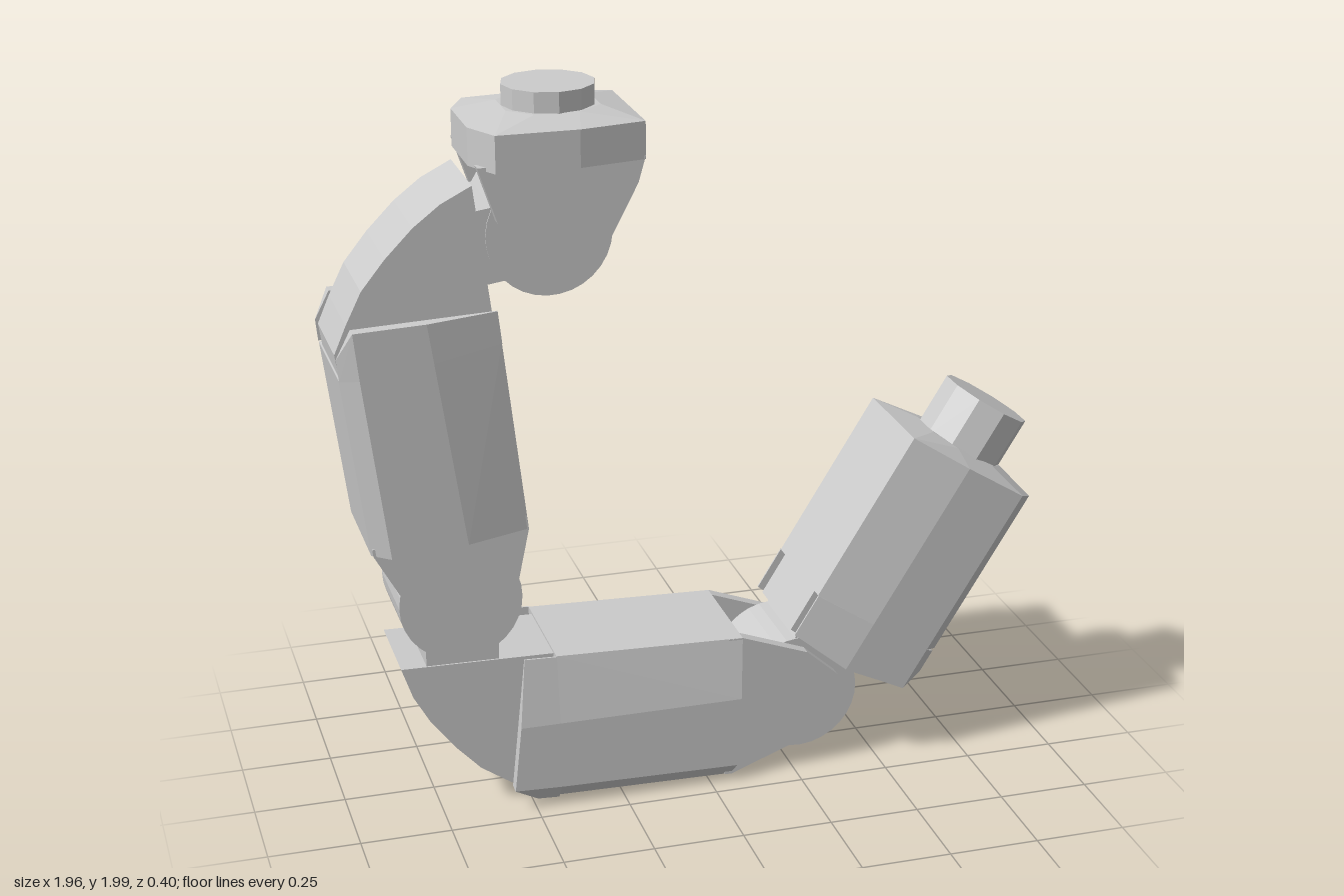
import * as THREE from 'three';
import { ConvexGeometry } from 'three/addons/geometries/ConvexGeometry.js';

const material = new THREE.MeshStandardMaterial({ color: 0xcccccc, flatShading: true, side: THREE.DoubleSide });

function add(parent, name, geometry, x = 0, y = 0, z = 0) {
  const mesh = new THREE.Mesh(geometry, material);
  mesh.name = name;
  mesh.position.set(x, y, z);
  parent.add(mesh);
  return mesh;
}

// Flat plate: a side profile given thickness between z0 and z1
function plate(parent, name, profile, z0, z1) {
  const shape = new THREE.Shape(profile.map(([x, y]) => new THREE.Vector2(x, y)));
  const geometry = new THREE.ExtrudeGeometry(shape, { depth: z1 - z0, bevelEnabled: false });
  return add(parent, name, geometry, 0, 0, z0);
}

// Faceted solid around points mirrored across z = 0
function hull(parent, name, points) {
  const all = points.flatMap(([x, y, z]) => [new THREE.Vector3(x, y, z), new THREE.Vector3(x, y, -z)]);
  return add(parent, name, new ConvexGeometry(all));
}

// Pair of thin side cheeks, from z = 0.165 out to the given widths
function cheeks(parent, points) {
  for (const side of [1, -1]) {
    const corners = points.flatMap(([x, y, z]) => [
      new THREE.Vector3(x, y, side * z), new THREE.Vector3(x, y, side * 0.165)]);
    add(parent, 'cheek', new ConvexGeometry(corners));
  }
}

function prongs(parent, profile) {
  plate(parent, 'prong', profile, 0.131, 0.166);
  plate(parent, 'prong', profile, -0.166, -0.131);
}

// Hinge barrel lying along z
function barrel(parent, x, y) {
  const geometry = new THREE.CylinderGeometry(0.168, 0.168, 0.258, 32);
  geometry.rotateX(Math.PI / 2);
  add(parent, 'hingeBarrel', geometry, x, y);
}

// Middle link: barrel and curved hood at one end, forked prongs at the other
function link(name) {
  const g = new THREE.Group();
  g.name = name;
  hull(g, 'linkBody', [
    [-0.43, 0.447, 0.165], [-0.43, 0.26, 0.2], [-0.43, 0.065, 0.2], [-0.43, 0.017, 0.155],
    [0.10, 0.43, 0.165], [0.087, 0.26, 0.2], [0.075, 0.055, 0.2], [0.07, 0.008, 0.155],
  ]);
  cheeks(g, [
    [-0.43, 0.447, 0.17], [-0.43, 0.26, 0.2], [-0.43, 0.065, 0.2], [-0.43, 0.017, 0.167],
    [-0.52, 0.45, 0.17], [-0.54, 0.26, 0.2], [-0.56, 0.07, 0.2], [-0.49, 0.02, 0.167],
  ]);
  plate(g, 'curvedHood', [
    [-0.85, 0.448], [-0.82, 0.36], [-0.775, 0.28], [-0.71, 0.195], [-0.64, 0.12],
    [-0.56, 0.065], [-0.49, 0.022], [-0.42, 0.022], [-0.42, 0.44],
  ], -0.13, 0.13);
  prongs(g, [
    [0.06, 0.43], [0.10, 0.43], [0.29, 0.36], [0.38, 0.28], [0.375, 0.2], [0.32, 0.13],
    [0.25, 0.08], [0.07, 0.012], [0.05, 0.012],
  ]);
  add(g, 'neck', new THREE.BoxGeometry(0.2, 0.2, 0.25), -0.68, 0.52);
  barrel(g, -0.68, 0.625);
  return g;
}

// Upper mount: peg, chamfered block and fork
function mount() {
  const g = new THREE.Group();
  g.name = 'upperMount';
  const outline = [[-0.62, 0.1], [-0.57, 0.2], [-0.35, 0.2], [-0.17, 0.165]];
  hull(g, 'mountBlock', [
    ...outline.flatMap(([x, z]) => [[x, 1.82, z], [x, 1.92, z]]),
    [-0.51, 1.945, 0.06], [-0.45, 1.945, 0.12], [-0.33, 1.945, 0.12], [-0.26, 1.945, 0.06],
  ]);
  prongs(g, [
    [-0.61, 1.83], [-0.17, 1.83], [-0.19, 1.76], [-0.29, 1.57], [-0.34, 1.54],
    [-0.45, 1.54], [-0.56, 1.68],
  ]);
  add(g, 'mountPeg', new THREE.CylinderGeometry(0.124, 0.124, 0.08, 12), -0.385, 1.96);
  return g;
}

// End link: local x runs along its length, local y points to the inner side
function endLink() {
  const g = new THREE.Group();
  g.name = 'endLink';
  const section = [[0, 0.165], [-0.18, 0.2], [-0.37, 0.2], [-0.425, 0.14]];
  hull(g, 'endBody', [
    ...section.flatMap(([y, z]) => [[0.13, y, z], [0.645, y, z]]),
    [0.67, -0.1, 0.06], [0.67, -0.16, 0.12], [0.67, -0.28, 0.12], [0.67, -0.34, 0.06],
  ]);
  cheeks(g, [
    [0.13, 0, 0.17], [0.13, -0.18, 0.2], [0.13, -0.37, 0.2], [0.13, -0.4, 0.18],
    [0, 0, 0.17], [-0.02, -0.18, 0.2], [0, -0.37, 0.2], [0.06, -0.4, 0.18],
  ]);
  plate(g, 'endCore', [
    [0, -0.002], [-0.036, -0.25], [-0.02, -0.385], [0.07, -0.41], [0.15, -0.42], [0.15, -0.002],
  ], -0.13, 0.13);
  add(g, 'neck', new THREE.BoxGeometry(0.2, 0.2, 0.25), -0.05, -0.13);
  barrel(g, -0.154, -0.13);
  const peg = new THREE.CylinderGeometry(0.13, 0.13, 0.17, 10);
  peg.rotateZ(Math.PI / 2);
  add(g, 'endPeg', peg, 0.73, -0.222);
  return g;
}

export function createModel() {
  const model = new THREE.Group();
  model.name = 'jointedArm';
  model.add(mount());

  // Upper link repeats the lower one, swung about the lower link's hinge
  const upper = link('upperLink');
  const angle = THREE.MathUtils.degToRad(-81.7);
  const c = Math.cos(angle), s = Math.sin(angle);
  upper.rotation.z = angle;
  upper.position.set(-0.68 - (0.28 * c - 0.22 * s), 0.625 - (0.28 * s + 0.22 * c), 0);
  model.add(upper, link('lowerLink'));

  const end = endLink();
  end.rotation.z = THREE.MathUtils.degToRad(58.3);
  end.position.set(0.25, 0.42, 0);
  model.add(end);
  return model;
}
